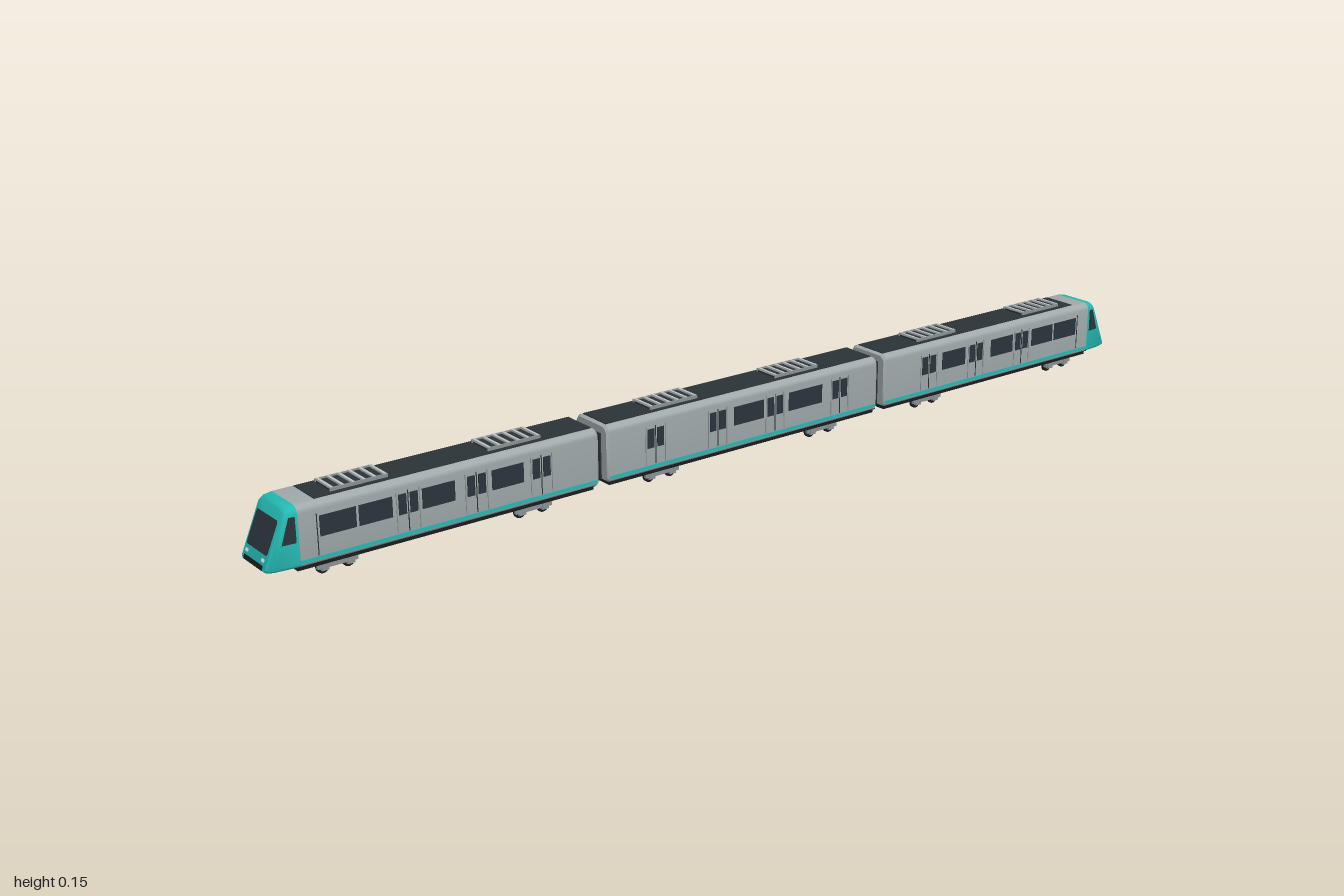
import * as THREE from 'three';
import { toCreasedNormals } from 'three/addons/utils/BufferGeometryUtils.js';

const mat = (name, color, side = THREE.FrontSide) => {
  const m = new THREE.MeshStandardMaterial({ color, side });
  m.name = name;
  return m;
};
const silver = mat('silver', 0x9fa8aa);
const teal = mat('teal', 0x25b9b3, THREE.DoubleSide);
const roofDark = mat('roof dark', 0x2b3338);
const glass = mat('window glass', 0x2a343b, THREE.DoubleSide);
const black = mat('underframe black', 0x191c1f);
const pale = mat('pale metal', 0xbcc2c2);
const steel = mat('bogie steel', 0x8a9294);
const lampWhite = mat('lamp white', 0xf0f5f2, THREE.DoubleSide);

function add(group, name, geo, material, x = 0, y = 0, z = 0) {
  const m = new THREE.Mesh(geo, material);
  m.name = name;
  m.position.set(x, y, z);
  group.add(m);
  return m;
}

// Box given by its limits
function box(group, name, x0, x1, y0, y1, z0, z1, material) {
  return add(group, name, new THREE.BoxGeometry(x1 - x0, y1 - y0, z1 - z0), material,
    (x0 + x1) / 2, (y0 + y1) / 2, (z0 + z1) / 2);
}

// Rounded cross-section, counter-clockwise seen from +x
function ring({ x, hw, y0, y1, rt = 0.014, rb = 0.006 }) {
  const corners = [[1, y0 + rb, rb, -90], [1, y1 - rt, rt, 0], [-1, y1 - rt, rt, 90], [-1, y0 + rb, rb, 180]];
  const pts = [];
  for (const [s, cy, r, start] of corners) {
    for (let k = 0; k <= 5; k++) {
      const a = (start + k * 18) * Math.PI / 180;
      const y = cy + r * Math.sin(a);
      pts.push([typeof x === 'function' ? x(y) : x, y, -(s * (hw - r) + r * Math.cos(a))]);
    }
  }
  return pts;
}

// Skin over cross-sections in order of increasing x, capped at both ends
function loft(sections) {
  const rings = sections.map(ring);
  const n = rings[0].length;
  const pos = [];
  const tri = (...p) => p.forEach(q => pos.push(...q));
  for (let i = 0; i < rings.length - 1; i++) {
    for (let j = 0; j < n; j++) {
      const k = (j + 1) % n;
      const a = rings[i][j], b = rings[i][k], c = rings[i + 1][k], d = rings[i + 1][j];
      tri(a, b, c);
      tri(a, c, d);
    }
  }
  const first = rings[0], last = rings[rings.length - 1];
  for (let j = 1; j < n - 1; j++) {
    tri(last[0], last[j], last[j + 1]);
    tri(first[0], first[j + 1], first[j]);
  }
  const geo = new THREE.BufferGeometry();
  geo.setAttribute('position', new THREE.Float32BufferAttribute(pos, 3));
  return toCreasedNormals(geo, 0.6);
}

// Thin plates on both long sides; turned repeats them rotated half a turn
function sidePlates(group, name, x0, x1, y0, y1, material, turned, out = 0.0508) {
  box(group, name, x0, x1, y0, y1, 0.0485, out, material);
  const [b0, b1] = turned ? [-x1, -x0] : [x0, x1];
  box(group, name, b0, b1, y0, y1, -out, -0.0485, material);
}

function door(group, x, turned) {
  for (const s of [-1, 1]) {
    const c = x + s * 0.011;
    sidePlates(group, 'doorWindow', c - 0.0075, c + 0.0075, 0.076, 0.113, glass, turned, 0.0512);
    sidePlates(group, 'doorSeam', x + s * 0.022 - 0.0008, x + s * 0.022 + 0.0008, 0.044, 0.118, steel, turned);
  }
  sidePlates(group, 'doorSeam', x - 0.0008, x + 0.0008, 0.044, 0.118, roofDark, turned);
}

function sideWindow(group, x0, x1, turned) {
  sidePlates(group, 'sideWindow', x0, x1, 0.076, 0.113, glass, turned);
}

// Roof unit with a dark bed, a pale frame and cross slats
function roofUnit(group, x) {
  const g = new THREE.Group();
  g.name = 'roofUnit';
  box(g, 'unitBed', -0.052, 0.052, 0.138, 0.1435, -0.026, 0.026, roofDark);
  for (const s of [-1, 1]) {
    add(g, 'unitRail', new THREE.BoxGeometry(0.108, 0.006, 0.003), steel, 0, 0.143, s * 0.0265);
  }
  for (let i = 0; i < 6; i++) {
    add(g, 'unitSlat', new THREE.BoxGeometry(0.005, 0.004, 0.054), pale, -0.05 + i * 0.02, 0.145, 0);
  }
  g.position.x = x;
  group.add(g);
}

// Bogie with two axles
function bogie(group, x) {
  const g = new THREE.Group();
  g.name = 'bogie';
  box(g, 'bogieBolster', -0.014, 0.014, 0.012, 0.026, -0.032, 0.032, black);
  for (const s of [-1, 1]) {
    add(g, 'bogieSideFrame', new THREE.BoxGeometry(0.076, 0.007, 0.006), steel, 0, 0.0155, s * 0.034);
    const axle = add(g, 'axle', new THREE.CylinderGeometry(0.003, 0.003, 0.064, 10), steel, s * 0.024, 0.0115, 0);
    axle.rotation.x = Math.PI / 2;
    for (const t of [-1, 1]) {
      const wheel = add(g, 'wheel', new THREE.CylinderGeometry(0.0115, 0.0115, 0.006, 20), black, s * 0.024, 0.0115, t * 0.026);
      wheel.rotation.x = Math.PI / 2;
      add(g, 'axleBox', new THREE.BoxGeometry(0.014, 0.012, 0.006), steel, s * 0.024, 0.014, t * 0.035);
    }
  }
  g.position.x = x;
  group.add(g);
}

const full = { hw: 0.05, y0: 0.03, y1: 0.138 };
const shrunk = { hw: 0.047, y0: 0.033, y1: 0.135 };

// Sloping nose plane and tapering cab sides
const noseX = y => 0.999 - Math.max(0, y - 0.038) * 0.43;
const cabStart = 0.938;
const partX = t => y => cabStart + (noseX(y) - cabStart) * t;

// Rounded plate lying on the nose plane
function nosePlate(group, name, z0, z1, y0, y1, r, material, lift) {
  const s = new THREE.Shape();
  const u0 = -z1, u1 = -z0;
  s.moveTo(u0 + r, y0);
  s.lineTo(u1 - r, y0).quadraticCurveTo(u1, y0, u1, y0 + r);
  s.lineTo(u1, y1 - r).quadraticCurveTo(u1, y1, u1 - r, y1);
  s.lineTo(u0 + r, y1).quadraticCurveTo(u0, y1, u0, y1 - r);
  s.lineTo(u0, y0 + r).quadraticCurveTo(u0, y0, u0 + r, y0);
  const geo = new THREE.ShapeGeometry(s, 5).rotateY(Math.PI / 2);
  const p = geo.attributes.position;
  for (let i = 0; i < p.count; i++) p.setX(i, noseX(p.getY(i)) + lift);
  geo.computeVertexNormals();
  add(group, name, geo, material);
}

function cab(group) {
  add(group, 'cabShell', loft([
    { ...full, x: cabStart },
    { ...full, x: partX(0.75), hw: 0.0475, y1: 0.137, y0: 0.031 },
    { x: partX(0.94), hw: 0.0455, y0: 0.0325, y1: 0.135 },
    { x: noseX, hw: 0.042, y0: 0.035, y1: 0.132 }
  ]), teal);
  nosePlate(group, 'windscreen', -0.0375, 0.0375, 0.06, 0.116, 0.005, glass, 0.0012);
  nosePlate(group, 'noseSkirt', -0.034, 0.034, 0.0355, 0.044, 0.002, black, 0.001);
  for (const s of [-1, 1]) {
    nosePlate(group, 'headlamp', s * 0.029 - 0.0055, s * 0.029 + 0.0055, 0.049, 0.0545, 0.002, lampWhite, 0.0015);
    // Cab side window following the taper
    const w = new THREE.Shape([[0.943, 0.076], [0.969, 0.076], [0.954, 0.122], [0.943, 0.122]]
      .map(([x, y]) => new THREE.Vector2(x, y)));
    const geo = new THREE.ShapeGeometry(w);
    const p = geo.attributes.position;
    for (let i = 0; i < p.count; i++) {
      const t = (p.getX(i) - cabStart) / (noseX(p.getY(i)) - cabStart);
      p.setZ(i, s * (0.0512 - 0.0033 * t));
    }
    geo.computeVertexNormals();
    add(group, 'cabSideWindow', geo, glass);
  }
}

// Parts common to every car between x0 and x1
function carBase(group, x0, x1, roof0, roof1, units, bogies) {
  box(group, 'underframe', x0 + 0.008, x1 - 0.004, 0.022, 0.0315, -0.042, 0.042, black);
  box(group, 'bellyPlate', x0 + 0.006, x1, 0.029, 0.031, -0.0455, 0.0455, black);
  box(group, 'roofPanel', roof0, roof1, 0.135, 0.1395, -0.036, 0.036, roofDark);
  sidePlates(group, 'sillStripe', x0 + 0.006, x1 - 0.006, 0.036, 0.0425, teal, false);
  units.forEach(x => roofUnit(group, x));
  bogies.forEach(x => bogie(group, x));
}

function endCar() {
  const g = new THREE.Group();
  add(g, 'carBody', loft([
    { ...shrunk, x: 0.345 }, { ...full, x: 0.35 }, { ...full, x: cabStart }
  ]), silver);
  carBase(g, 0.345, 0.945, 0.352, 0.9, [0.508, 0.812], [0.478, 0.865]);
  door(g, 0.468);
  door(g, 0.601);
  door(g, 0.735);
  for (const [a, b] of [[0.505, 0.57], [0.644, 0.708], [0.765, 0.828], [0.833, 0.9]]) sideWindow(g, a, b);
  sidePlates(g, 'cabDoorSeam', 0.904, 0.9055, 0.044, 0.118, roofDark);
  cab(g);
  return g;
}

function middleCar() {
  const g = new THREE.Group();
  g.name = 'middleCar';
  add(g, 'carBody', loft([
    { ...shrunk, x: -0.327 }, { ...full, x: -0.322 }, { ...full, x: 0.322 }, { ...shrunk, x: 0.327 }
  ]), silver);
  carBase(g, -0.327, 0.327, -0.32, 0.32, [-0.16, 0.135], [-0.195, 0.195]);
  for (const x of [-0.219, -0.075, 0.064, 0.228]) door(g, x, true);
  for (const [a, b] of [[-0.036, 0.036], [0.098, 0.182]]) sideWindow(g, a, b, true);
  return g;
}

// Bellows and coupler in the gap between two cars
function gangway(group, x) {
  const g = new THREE.Group();
  g.name = 'gangway';
  box(g, 'bellowsCore', -0.013, 0.013, 0.036, 0.118, -0.029, 0.029, black);
  for (const s of [-1, 0, 1]) box(g, 'bellowsFold', s * 0.006 - 0.0015, s * 0.006 + 0.0015, 0.034, 0.122, -0.033, 0.033, roofDark);
  box(g, 'coupler', -0.02, 0.02, 0.022, 0.029, -0.012, 0.012, black);
  g.position.x = x;
  group.add(g);
}

export function createModel() {
  const train = new THREE.Group();
  train.name = 'train';
  const left = endCar();
  left.name = 'leftEndCar';
  const right = endCar();
  right.name = 'rightEndCar';
  right.rotation.y = Math.PI;
  train.add(left, middleCar(), right);
  gangway(train, 0.336);
  gangway(train, -0.336);
  return train;
}
